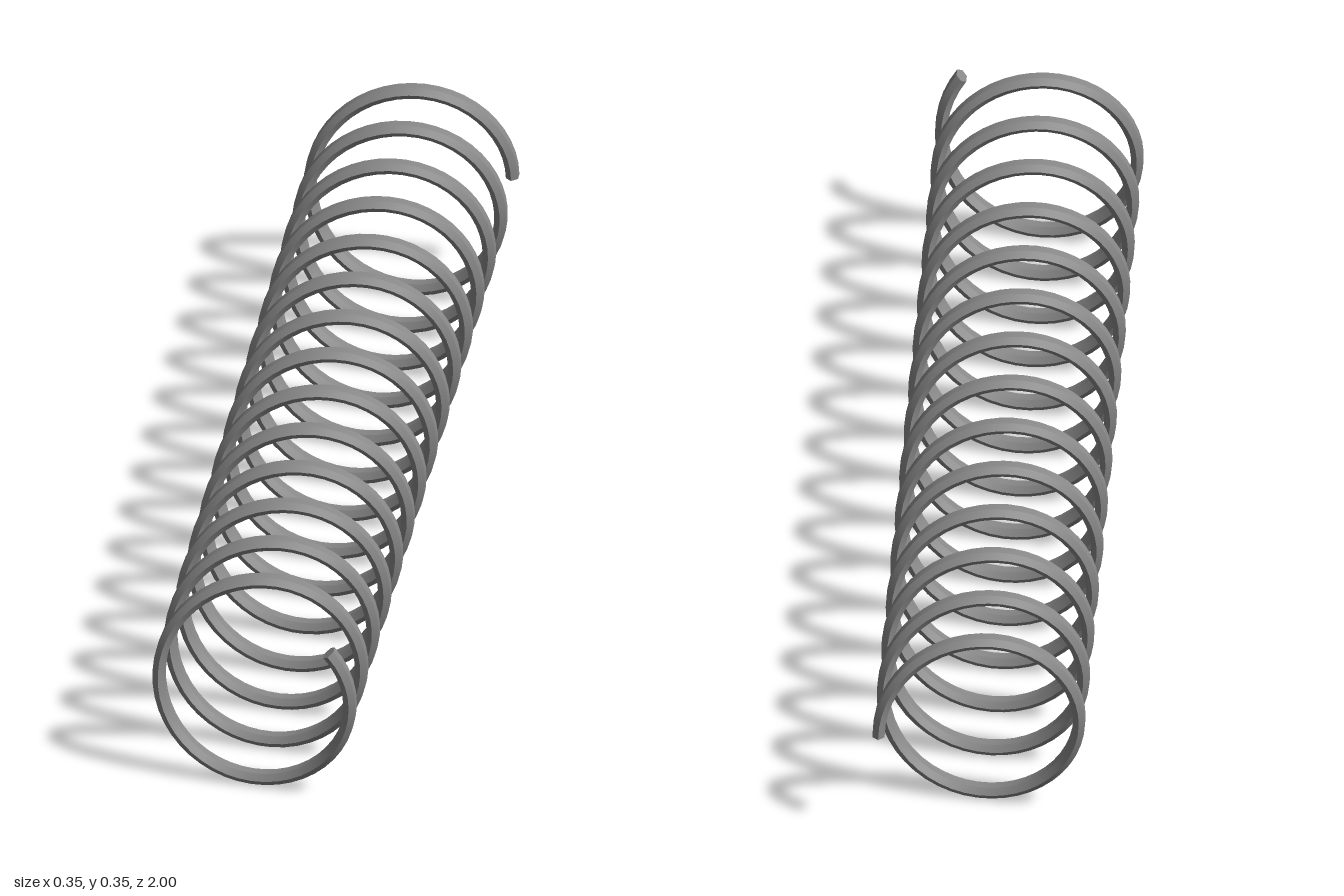
import * as THREE from 'three';
import { toCreasedNormals } from 'three/addons/utils/BufferGeometryUtils.js';

const RADIUS = 0.165;      // coil centre line
const WIRE_R = 0.0102;     // wire half thickness, radially
const WIRE_Z = 0.018;      // wire half width, along the axis
const SIDES = 6;
const STEPS = 14 * 48;
const START = THREE.MathUtils.degToRad(37);
const SWEEP = START + 14 * Math.PI * 2;
const Z0 = 0.982;

// Sweep a six-sided section round a helix about the z axis
function coilGeometry() {
  const pos = [], index = [];
  const k = 1 / Math.cos(Math.PI / SIDES); // flats face inwards and outwards
  for (let i = 0; i <= STEPS; i++) {
    const t = i / STEPS;
    const a = START - SWEEP * t;
    for (let j = 0; j < SIDES; j++) {
      const p = ((j + 0.5) / SIDES) * Math.PI * 2;
      const r = RADIUS + WIRE_R * k * Math.cos(p);
      pos.push(r * Math.cos(a), r * Math.sin(a), Z0 * (1 - 2 * t) + WIRE_Z * Math.sin(p));
      if (i < STEPS) {
        const b = i * SIDES + j, c = i * SIDES + (j + 1) % SIDES;
        index.push(b, c, b + SIDES, c, c + SIDES, b + SIDES);
      }
    }
  }
  // Flat caps on both wire ends
  const last = STEPS * SIDES;
  for (let j = 1; j < SIDES - 1; j++) {
    index.push(0, j + 1, j, last, last + j, last + j + 1);
  }
  const geometry = new THREE.BufferGeometry();
  geometry.setAttribute('position', new THREE.Float32BufferAttribute(pos, 3));
  geometry.setIndex(index);
  // Smooth along the wire, sharp between its flats
  return toCreasedNormals(geometry, THREE.MathUtils.degToRad(30));
}

export function createModel() {
  const group = new THREE.Group();
  group.name = 'coilSpring';
  const material = new THREE.MeshStandardMaterial({ color: 0x888888 });
  const coil = new THREE.Mesh(coilGeometry(), material);
  coil.name = 'wireCoil';
  coil.position.y = RADIUS + WIRE_R;
  group.add(coil);
  return group;
}
